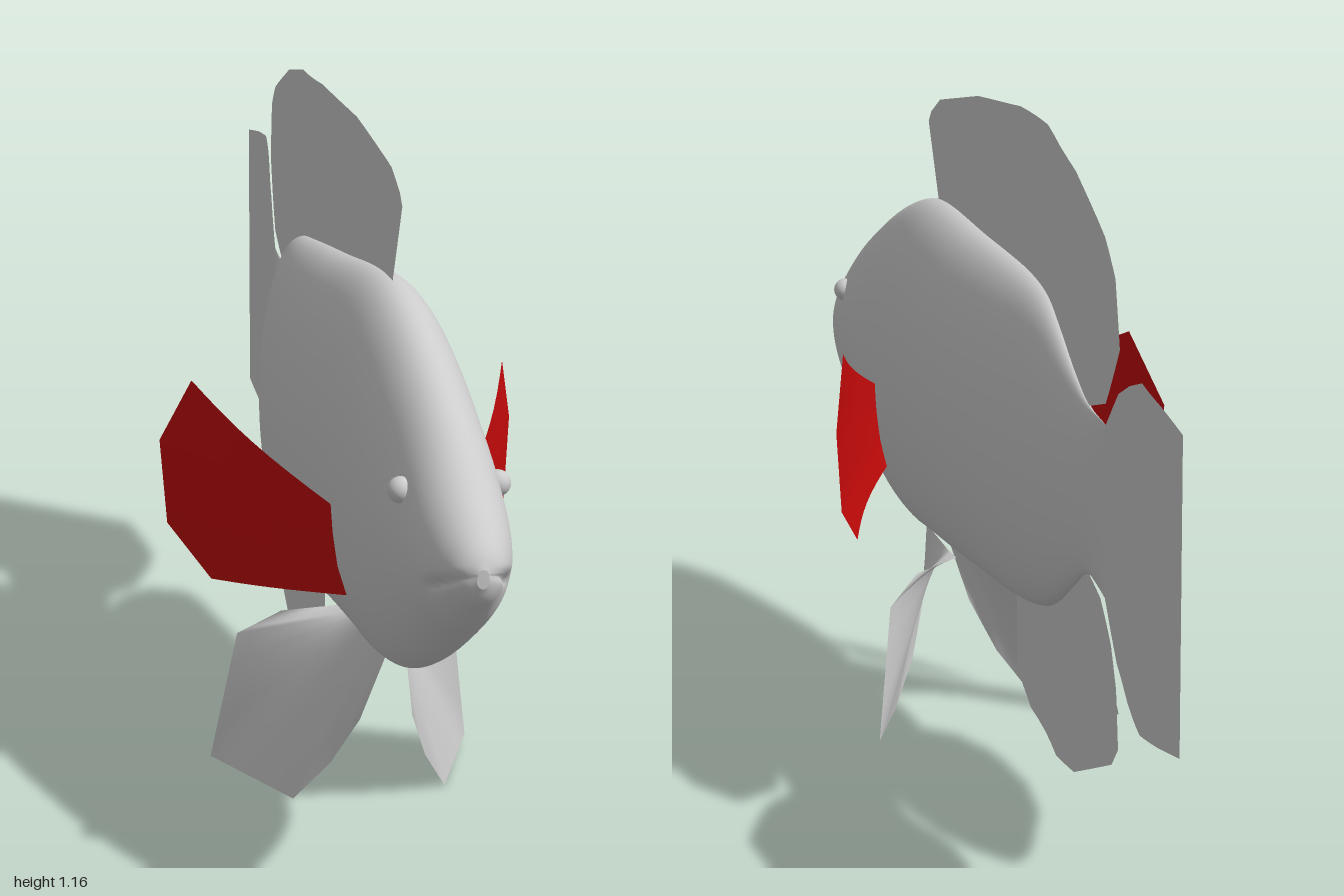
import * as THREE from 'three';

const grey = new THREE.MeshStandardMaterial({ color: 0xcccccc, side: THREE.DoubleSide });
const red = new THREE.MeshStandardMaterial({ color: 0xc40a0a, side: THREE.DoubleSide });

// Smooth function through rows of [depth behind the nose, ...values]
function smoothTable(rows) {
  const size = rows[0].length - 1;
  const interp = new THREE.CubicInterpolant(
    rows.map(r => r[0]), rows.flatMap(r => r.slice(1)), size, new Array(size));
  return d => interp.evaluate(d);
}

// Sideways bend of the swimming fish, nose to tail tip
const bend = smoothTable([
  [0, 0.02], [0.5, 0.017], [0.7, 0.011], [0.9, 0], [1, -0.004],
  [1.1, 0], [1.2, 0.012], [1.5, 0.04], [1.6, 0.055], [1.8, 0.09], [2, 0.1],
]);
const spineX = z => bend(1 - z)[0];

// Body stations: depth, back height, belly height, half width
const station = smoothTable([
  [0, 0.615, 0.585, 0.012], [0.01, 0.635, 0.565, 0.03], [0.04, 0.667, 0.535, 0.052],
  [0.1, 0.715, 0.485, 0.074], [0.2, 0.788, 0.417, 0.09], [0.3, 0.842, 0.36, 0.1],
  [0.4, 0.888, 0.318, 0.108], [0.5, 0.92, 0.301, 0.113], [0.58, 0.928, 0.302, 0.115],
  [0.8, 0.907, 0.3, 0.11], [1, 0.885, 0.3, 0.095], [1.1, 0.867, 0.318, 0.079],
  [1.2, 0.832, 0.358, 0.057], [1.3, 0.783, 0.415, 0.036], [1.38, 0.752, 0.46, 0.02],
  [1.5, 0.745, 0.465, 0.004],
]);

// Surface from a grid of points; wrap joins the last column to the first
function gridMesh(name, rows, cols, point, material, wrap = false) {
  const pos = [], index = [];
  for (let i = 0; i < rows; i++)
    for (let j = 0; j < cols; j++) pos.push(...point(i, j));
  for (let i = 0; i < rows - 1; i++)
    for (let j = 0; j < (wrap ? cols : cols - 1); j++) {
      const k = (j + 1) % cols;
      const a = i * cols + j, b = i * cols + k, c = a + cols, d = b + cols;
      index.push(a, c, b, b, c, d);
    }
  const geo = new THREE.BufferGeometry();
  geo.setAttribute('position', new THREE.Float32BufferAttribute(pos, 3));
  geo.setIndex(index);
  geo.computeVertexNormals();
  const mesh = new THREE.Mesh(geo, material);
  mesh.name = name;
  return mesh;
}

function makeBody() {
  const rings = 130, sides = 96;
  return gridMesh('body', rings, sides, (i, j) => {
    if (i === 0) return [0.02, 0.6, 1];
    const d = 1.5 * Math.pow((i - 1) / (rings - 2), 1.8);
    const [top, bottom, half] = station(d);
    const a = (j / sides) * Math.PI * 2;
    let y = (top + bottom) / 2 + ((top - bottom) / 2) * Math.sin(a);
    // Mouth: a shallow groove sloping back from the nose, with a slimmer lower jaw
    const off = y - (0.607 - 0.45 * d);
    const fade = THREE.MathUtils.clamp((0.1 - d) / 0.03, 0, 1);
    const groove = 1 - 0.16 * fade * Math.exp(-((off / 0.009) ** 2));
    const jaw = off < 0 ? 1 - 0.12 * fade : 1;
    return [spineX(1 - d) + half * Math.cos(a) * groove * jaw, y, 1 - d];
  }, grey, true);
}

// Point at fraction t along a polyline segment list, spaced evenly per segment
function along(points, t) {
  const s = t * (points.length - 1), k = Math.min(Math.floor(s), points.length - 2), f = s - k;
  return points[k].map((v, n) => v + (points[k + 1][n] - v) * f);
}

// Thin fin stretched between a root line and an outer edge, then shaped by a rule
function makeFin(name, root, edge, place, material) {
  const cols = (edge.length - 1) * 4 + 1, rows = 9;
  return gridMesh(name, rows, cols, (i, j) => {
    const u = j / (cols - 1), v = i / (rows - 1);
    const a = along(root, u), b = along(edge, u);
    return place(a.map((p, n) => p + (b[n] - p) * v), v);
  }, material);
}

export function createModel() {
  const fish = new THREE.Group();
  fish.name = 'fish';
  fish.add(makeBody());

  // Middle fins follow the bend; points are [z, y]
  const onSpine = ([z, y]) => [spineX(z), y, z];
  fish.add(makeFin('dorsalFin',
    [[0.45, 0.9], [0.2, 0.87], [0, 0.85], [-0.2, 0.8], [-0.36, 0.74]],
    [[0.515, 1.06], [0.5, 1.08], [0.45, 1.11], [0.25, 1.15], [0.05, 1.165], [-0.1, 1.16],
      [-0.3, 1.12], [-0.49, 1.05], [-0.57, 1], [-0.61, 0.895], [-0.5, 0.78]],
    onSpine, grey));
  fish.add(makeFin('analFin',
    [[0.07, 0.32], [-0.1, 0.35], [-0.25, 0.41], [-0.37, 0.47]],
    [[0.07, 0.15], [0, 0.1], [-0.17, 0.07], [-0.3, 0.085], [-0.56, 0.19], [-0.615, 0.235],
      [-0.595, 0.33], [-0.55, 0.39], [-0.47, 0.445]],
    onSpine, grey));
  fish.add(makeFin('tailFin',
    [[-0.4, 0.745], [-0.4, 0.465]],
    [[-0.5, 0.745], [-0.5, 0.455]],
    onSpine, grey));
  // Tail fan: columns run from the narrow root back to the straight trailing edge
  fish.add(makeFin('tailFan',
    [[-0.5, 0.745], [-0.55, 0.785], [-0.6, 0.822], [-0.7, 0.86], [-0.8, 0.89], [-0.9, 0.878], [-1, 0.86]],
    [[-0.5, 0.455], [-0.55, 0.41], [-0.6, 0.375], [-0.7, 0.345], [-0.8, 0.325], [-0.9, 0.338], [-1, 0.355]],
    onSpine, grey));

  // Paired fins and eyes; points are [half distance, y, z]
  for (const [side, s] of [['left', 1], ['right', -1]]) {
    const place = bow => ([h, y, z], v) => {
      const w = h + bow * Math.sin(Math.PI * v);
      return [s * w + 0.02 * (1 - w / 0.3), y, z];
    };
    fish.add(makeFin(side + 'PectoralFin',
      [[0.086, 0.42, 0.515], [0.1, 0.47, 0.514], [0.107, 0.525, 0.512], [0.11, 0.575, 0.51]],
      [[0.24, 0.367, 0.23], [0.295, 0.445, 0.15], [0.305, 0.59, 0.145], [0.267, 0.712, 0.22]],
      place(0.012), red));
    fish.add(makeFin(side + 'PelvicFin',
      [[0.015, 0.31, 0.49], [0.02, 0.31, 0.45], [0.025, 0.31, 0.42],
        [0.03, 0.31, 0.36], [0.035, 0.31, 0.3], [0.035, 0.31, 0.25]],
      [[0.045, 0.17, 0.43], [0.082, 0.08, 0.385], [0.132, 0.003, 0.34],
        [0.227, 0.015, 0.145], [0.19, 0.25, 0.185], [0.125, 0.297, 0.22]],
      place(0), grey));

    const eye = new THREE.Mesh(new THREE.SphereGeometry(0.021, 24, 16), grey);
    eye.name = side + 'Eye';
    eye.position.set(0.018 + s * 0.077, 0.688, 0.808);
    fish.add(eye);
  }
  return fish;
}
